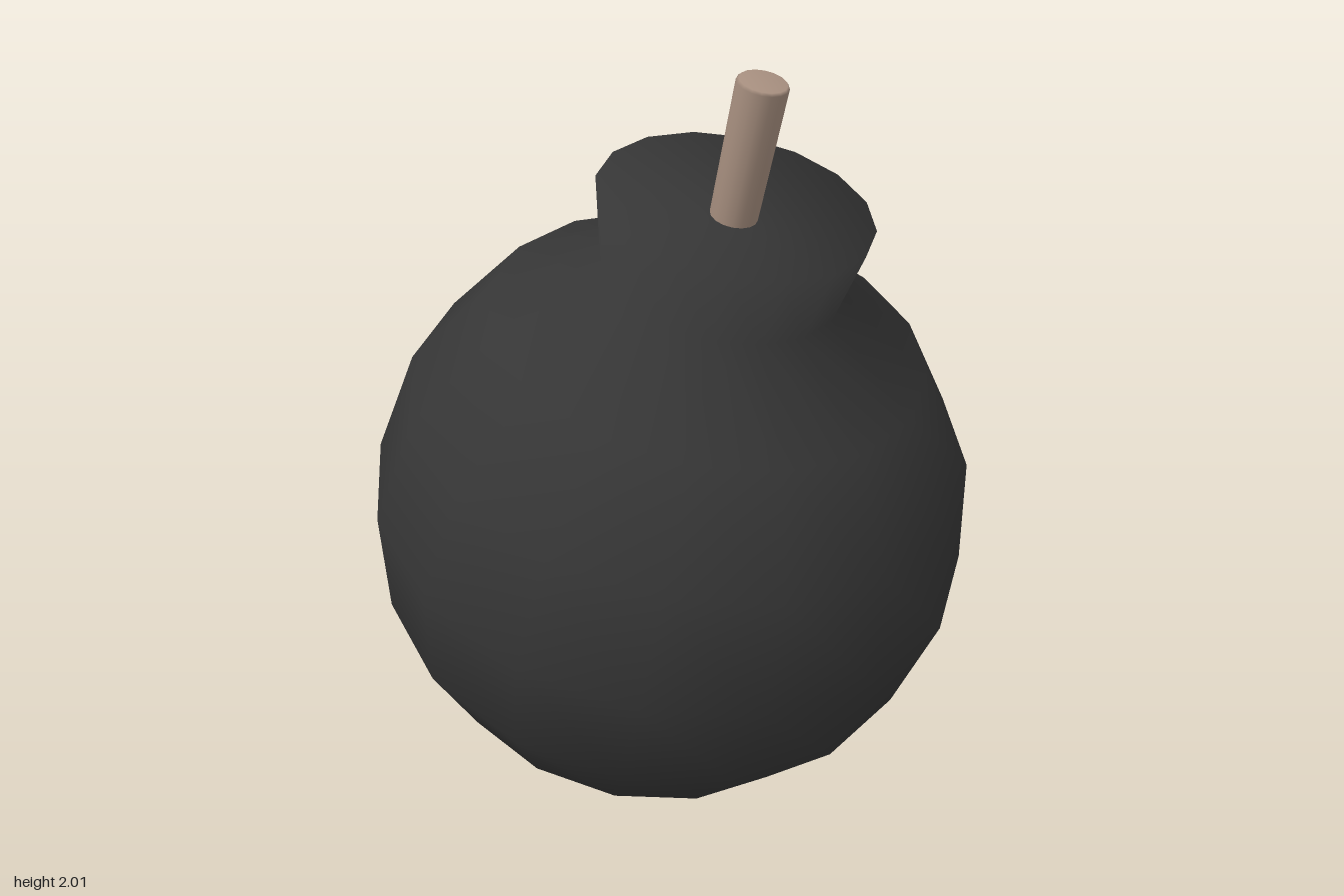
import * as THREE from 'three';
import { mergeVertices } from 'three/addons/utils/BufferGeometryUtils.js';

const SIDES = 16;

// Revolve a [radius, height] profile and smooth it across seam and poles
function turned(name, profile, material) {
  const lathe = new THREE.LatheGeometry(profile.map(([r, h]) => new THREE.Vector2(r, h)), SIDES);
  lathe.deleteAttribute('uv');
  lathe.deleteAttribute('normal');
  const geometry = mergeVertices(lathe, 1e-4);
  geometry.computeVertexNormals();
  const mesh = new THREE.Mesh(geometry, material);
  mesh.name = name;
  return mesh;
}

export function createModel() {
  const iron = new THREE.MeshStandardMaterial({ color: 0x363636 });
  iron.name = 'dark iron';
  const cord = new THREE.MeshStandardMaterial({ color: 0xa89080 });
  cord.name = 'tan cord';

  const model = new THREE.Group();
  model.name = 'bomb';

  // Everything leans forward about the centre of the ball
  const tilted = new THREE.Group();
  tilted.name = 'tiltedBomb';
  tilted.position.y = 0.72;
  tilted.rotation.x = THREE.MathUtils.degToRad(15);
  model.add(tilted);

  // Ball rings every 22.5 degrees, with a flattened underside
  const R = 0.828;
  const profile = [[0, -0.745], [0.32, -0.662]];
  for (let i = -2; i <= 3; i++) {
    const a = (i * Math.PI) / 8;
    profile.push([R * Math.cos(a), R * Math.sin(a)]);
  }
  // Flared neck and its shallow dished top
  profile.push([0.358, 0.973], [0, 0.931]);
  tilted.add(turned('bodyAndNeck', profile, iron));

  // Fuse stick, slightly wider at the top
  tilted.add(turned('fuse', [[0, 0.9], [0.061, 0.9], [0.066, 1.305], [0.06, 1.312], [0, 1.312]], cord));

  return model;
}
